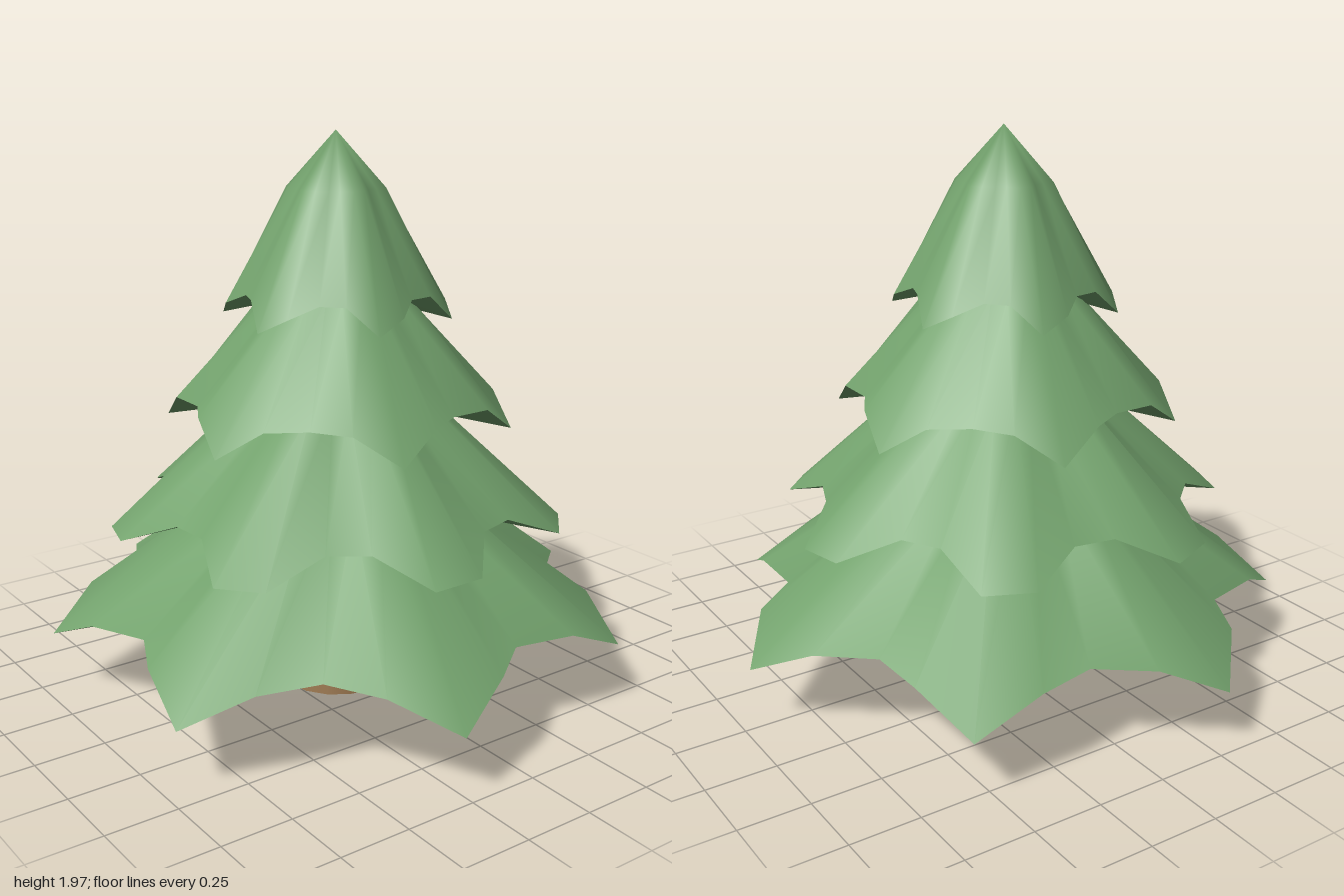
import * as THREE from 'three';

const AXIS_X = -0.05;

// Wavy rim point: tips reach out and droop, valleys stay level
function rimPoint(t, a) {
  const wave = Math.cos(t.points * (a - t.phase));
  return [t.radius + t.amp * wave, t.y - t.droop * Math.max(0, wave)];
}

function build(positions, index) {
  const g = new THREE.BufferGeometry();
  g.setAttribute('position', new THREE.Float32BufferAttribute(positions, 3));
  g.setIndex(index);
  g.computeVertexNormals();
  return g;
}

// Upper skin: rim, shoulder ring and apex
function skinGeometry(t) {
  const n = t.points * 4, pos = [], idx = [];
  for (const ring of [0, 1]) {
    for (let i = 0; i < n; i++) {
      const a = (i / n) * Math.PI * 2;
      const [r, y] = rimPoint(t, a);
      const rr = ring ? r * t.shoulder / t.radius : r;
      pos.push(rr * Math.cos(a), ring ? t.shoulderY : y, rr * Math.sin(a));
    }
  }
  pos.push(0, t.apex, 0);
  for (let i = 0; i < n; i++) {
    const j = (i + 1) % n;
    idx.push(i, n + i, j, j, n + i, n + j, n + i, 2 * n, n + j);
  }
  return build(pos, idx);
}

// Underside: fan from the trunk axis to the rim
function undersideGeometry(t) {
  const n = t.points * 4, pos = [0, t.y, 0], idx = [];
  for (let i = 0; i < n; i++) {
    const a = (i / n) * Math.PI * 2;
    const [r, y] = rimPoint(t, a);
    pos.push(r * Math.cos(a), y, r * Math.sin(a));
    idx.push(0, 1 + i, 1 + ((i + 1) % n));
  }
  return build(pos, idx);
}

export function createModel() {
  const tree = new THREE.Group();
  tree.name = 'pineTree';
  const needles = new THREE.MeshStandardMaterial({ color: 0x73a26d });
  needles.name = 'needle green';
  const bark = new THREE.MeshStandardMaterial({ color: 0x96734c });
  bark.name = 'bark brown';

  // Trunk
  const trunk = new THREE.Mesh(new THREE.CylinderGeometry(0.14, 0.21, 0.4, 16), bark);
  trunk.name = 'trunk';
  trunk.position.set(AXIS_X, 0.2, 0);
  tree.add(trunk);

  // Four branch tiers, bottom to top
  const deg = Math.PI / 180;
  const tiers = [
    { points: 7, phase: 0, radius: 0.905, amp: 0.115, y: 0.33, droop: 0.105, shoulder: 0.34, shoulderY: 0.74, apex: 0.92 },
    { points: 7, phase: -6 * deg, radius: 0.725, amp: 0.1, y: 0.7, droop: 0.115, shoulder: 0.27, shoulderY: 1.08, apex: 1.28 },
    { points: 6, phase: 45 * deg, radius: 0.558, amp: 0.055, y: 1.06, droop: 0.1, shoulder: 0.22, shoulderY: 1.43, apex: 1.62 },
    { points: 6, phase: 41 * deg, radius: 0.363, amp: 0.042, y: 1.43, droop: 0.1, shoulder: 0.155, shoulderY: 1.78, apex: 1.97 },
  ];
  tiers.forEach((t, i) => {
    const tier = new THREE.Group();
    tier.name = `branchTier${i + 1}`;
    const skin = new THREE.Mesh(skinGeometry(t), needles);
    skin.name = 'branches';
    const underside = new THREE.Mesh(undersideGeometry(t), needles);
    underside.name = 'underside';
    tier.add(skin, underside);
    tier.position.x = AXIS_X;
    tree.add(tier);
  });
  return tree;
}
